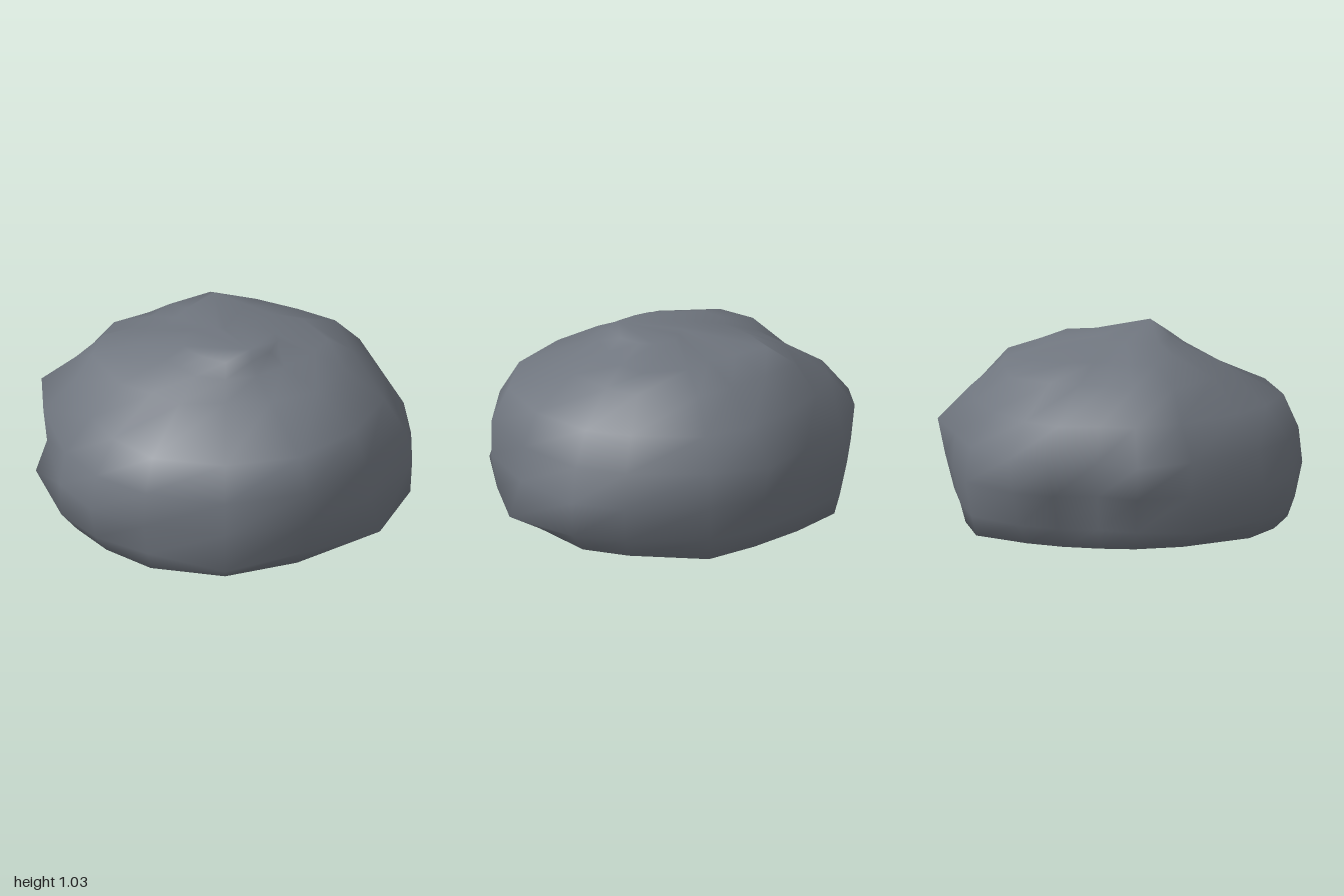
import * as THREE from 'three';

// Uneven compass directions (degrees from +x towards +z) that follow the rock's corners
const ANGLES = [0, 17, 43, 70, 98, 125, 145, 163, 191, 209, 222, 236, 250, 271, 292, 314, 333];

// Horizontal cross-sections: height and radius in each direction
const SECTIONS = [
  [0.00, [.89, .89, .81, .82, .87, .88, .87, .88, .84, .84, .83, .84, .86, .93, .86, .87, .95]],
  [0.11, [.97, 1.0, 1.01, .91, 1.01, .92, .95, .97, 1.02, .93, .87, .90, .93, .96, .89, .92, .96]],
  [0.30, [1.0, 1.01, .94, .94, .95, .96, .99, .98, .96, .99, .90, .97, 1.0, 1.0, .93, .97, .98]],
  [0.49, [.96, .97, .92, .94, .95, .94, .95, .95, .98, 1.06, .93, 1.05, 1.02, .97, .92, 1.01, .96]],
  [0.67, [.85, .86, .84, .85, .84, .86, .82, .80, .82, .86, .84, .90, .88, .83, .81, .84, .87]],
  [0.84, [.68, .64, .60, .52, .47, .54, .54, .63, .72, .70, .59, .60, .65, .71, .65, .65, .71]],
  [0.92, [.55, .48, .38, .36, .36, .36, .34, .36, .46, .44, .38, .40, .45, .56, .45, .42, .50]],
  [0.98, [.26, .28, .29, .30, .28, .25, .25, .25, .22, .17, .14, .12, .10, .08, .10, .13, .20]],
];
const PEAK = [0.1, 1.03, 0.24];

function createBoulderGeometry() {
  const n = ANGLES.length;
  const positions = [];
  const indices = [];

  // An inner ring on the underside keeps the base flat inside its soft rim
  const inner = SECTIONS[0][1].map((r) => r * 0.92);
  const rings = [[0, inner], ...SECTIONS];

  for (const [y, radii] of rings) {
    radii.forEach((r, i) => {
      const a = THREE.MathUtils.degToRad(ANGLES[i]);
      positions.push(r * Math.cos(a), y, r * Math.sin(a));
    });
  }

  // Skin between neighbouring cross-sections
  for (let j = 0; j < rings.length - 1; j++) {
    for (let i = 0; i < n; i++) {
      const a = j * n + i;
      const b = j * n + (i + 1) % n;
      indices.push(a, a + n, b, b, a + n, b + n);
    }
  }

  // Off-centre peak and flat underside
  const peak = positions.length / 3;
  positions.push(...PEAK, 0, 0, 0);
  const top = (rings.length - 1) * n;
  for (let i = 0; i < n; i++) {
    const k = (i + 1) % n;
    indices.push(top + i, peak, top + k);
    indices.push(i, k, peak + 1);
  }

  const geometry = new THREE.BufferGeometry();
  geometry.setAttribute('position', new THREE.Float32BufferAttribute(positions, 3));
  geometry.setIndex(indices);
  geometry.computeVertexNormals();
  return geometry;
}

export function createModel() {
  const stone = new THREE.MeshStandardMaterial({ color: 0x70767f });
  stone.name = 'slate grey stone';

  const boulder = new THREE.Mesh(createBoulderGeometry(), stone);
  boulder.name = 'boulder';

  const group = new THREE.Group();
  group.name = 'rock';
  group.add(boulder);
  return group;
}
